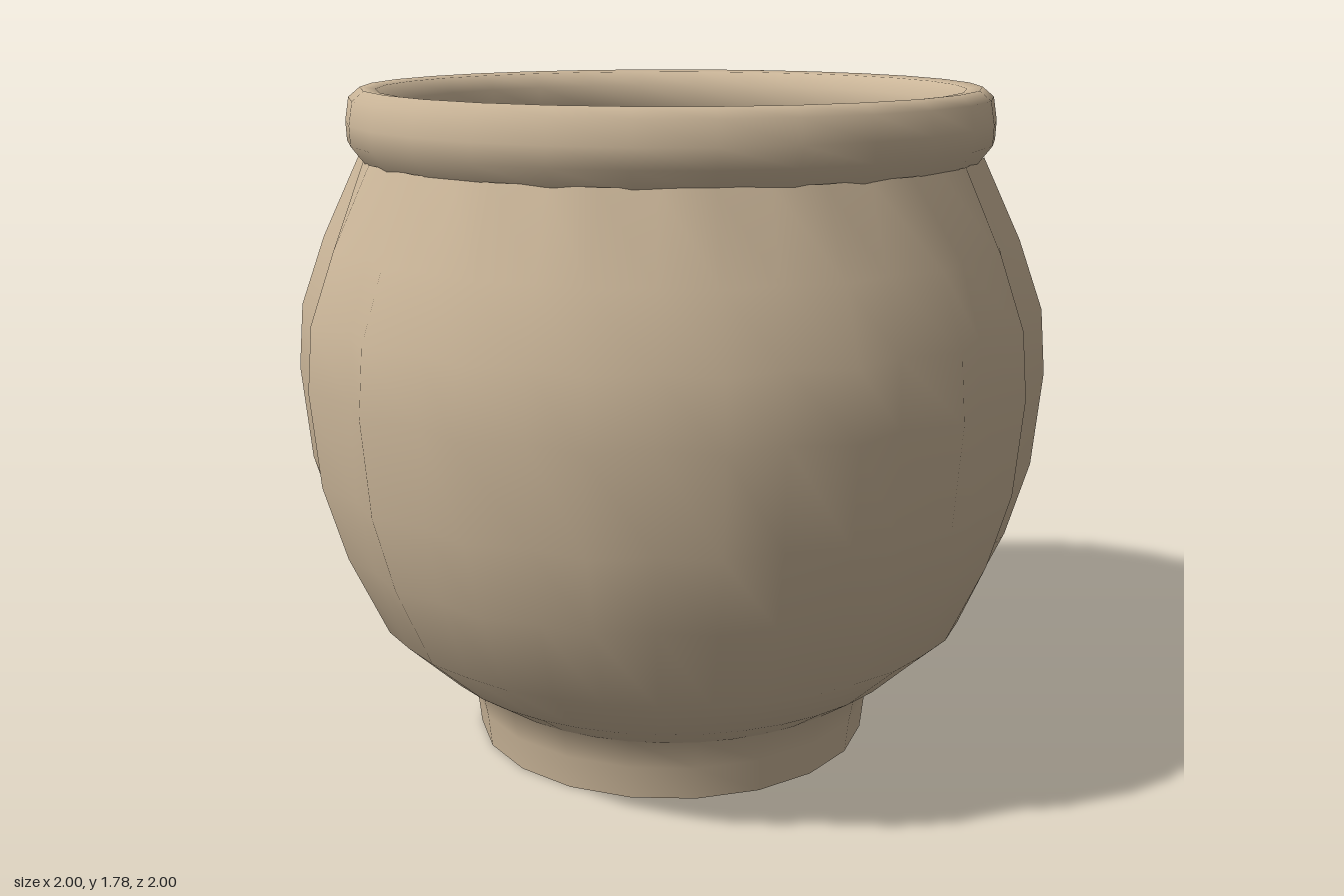
import * as THREE from 'three';
import { mergeVertices } from 'three/addons/utils/BufferGeometryUtils.js';

const clay = new THREE.MeshStandardMaterial({ color: 0xcbb699 });
clay.name = 'clay';
const earth = new THREE.MeshStandardMaterial({ color: 0x38220d, flatShading: true, side: THREE.DoubleSide });
earth.name = 'soil';

// Repeatable noise in 0..1 taken from a position
const noise = (x, z, k) => {
  const s = Math.sin(Math.round(x * 500) * 12.9898 + Math.round(z * 500) * 78.233 + k * 37.7) * 43758.5453;
  return s - Math.floor(s);
};

// Lathe of [radius, y, grooveDepth] rows; every other column sinks by grooveDepth
function flutedLathe(name, rows, segments = 40) {
  const lathe = new THREE.LatheGeometry(rows.map(([r, y]) => new THREE.Vector2(r, y)), segments);
  const p = lathe.attributes.position;
  for (let i = 0; i < p.count; i++) {
    const column = Math.floor(i / rows.length);
    const [r, , groove = 0] = rows[i % rows.length];
    if (column % 2 && groove) {
      const k = (r - groove) / r;
      p.setXYZ(i, p.getX(i) * k, p.getY(i), p.getZ(i) * k);
    }
  }
  lathe.deleteAttribute('uv');
  lathe.deleteAttribute('normal');
  const geometry = mergeVertices(lathe, 1e-4);
  geometry.computeVertexNormals();
  const mesh = new THREE.Mesh(geometry, clay);
  mesh.name = name;
  return mesh;
}

export function createModel() {
  const pot = new THREE.Group();
  pot.name = 'plantPot';

  // Foot with flat underside
  const foot = flutedLathe('foot', [[0.545, 0], [0.555, 0.09], [0.57, 0.17], [0.63, 0.22]], 20);
  const underside = new THREE.Mesh(new THREE.CircleGeometry(0.545, 20), clay);
  underside.rotation.x = Math.PI / 2;
  underside.name = 'underside';

  // Round belly with twenty lobes that fade out above and below
  const belly = flutedLathe('belly', [
    [0.57, 0.17], [0.67, 0.24], [0.82, 0.38, 0.005], [0.92, 0.6, 0.025], [0.978, 0.8, 0.04],
    [1, 1.05, 0.055], [0.985, 1.22, 0.05], [0.92, 1.4, 0.04], [0.82, 1.61, 0.01],
  ]);

  // Rolled rim and the inner wall below it
  const rim = flutedLathe('rim', [
    [0.81, 1.6], [0.848, 1.65], [0.85, 1.7], [0.84, 1.76], [0.81, 1.785], [0.77, 1.78],
    [0.735, 1.74], [0.735, 1.68], [0.755, 1.6], [0.77, 1.45],
  ], 28);

  // Lumpy soil: a disc with jittered corners
  const disc = new THREE.RingGeometry(0.04, 0.75, 36, 9);
  disc.rotateX(-Math.PI / 2);
  const p = disc.attributes.position;
  for (let i = 0; i < p.count; i++) {
    const x = p.getX(i), z = p.getZ(i);
    const edge = Math.hypot(x, z) > 0.72;
    const shift = edge ? 0 : 0.05;
    p.setXYZ(i, x + (noise(x, z, 1) - 0.5) * shift, 1.56 + noise(x, z, 2) * 0.07, z + (noise(x, z, 3) - 0.5) * shift);
  }
  disc.computeVertexNormals();
  const soil = new THREE.Mesh(disc, earth);
  soil.name = 'soil';

  // Close the small hole at the middle of the soil
  const middle = new THREE.Mesh(new THREE.CircleGeometry(0.08, 8), earth);
  middle.rotation.x = -Math.PI / 2;
  middle.position.y = 1.58;
  middle.name = 'soilMiddle';

  pot.add(foot, underside, belly, rim, soil, middle);
  return pot;
}
